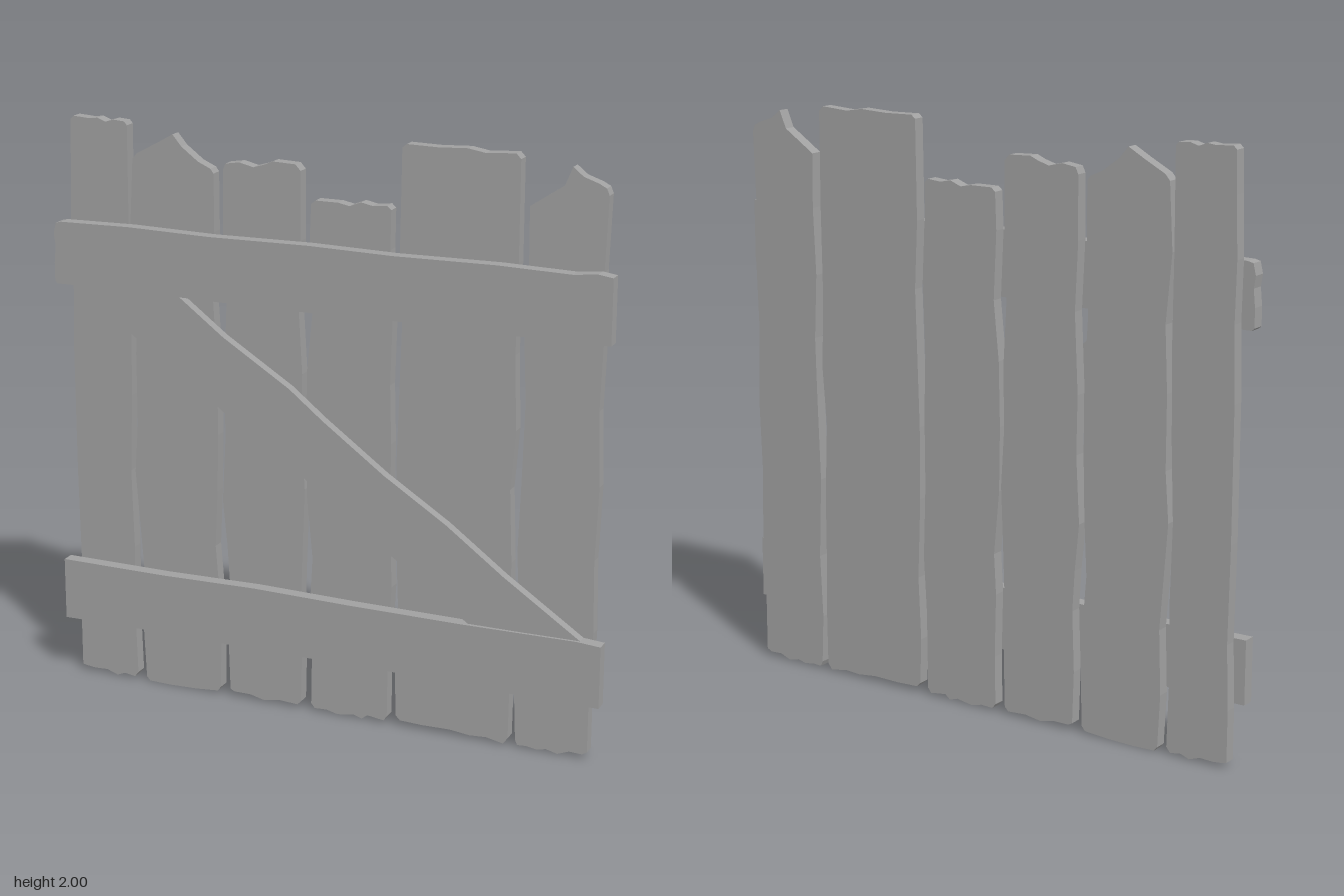
import * as THREE from 'three';

// Weathered plank gate: six ragged upright boards, two rails and a diagonal brace
export function createModel() {
  const group = new THREE.Group();
  const wood = new THREE.MeshStandardMaterial({ color: 0xa0a0a0 });
  wood.name = 'greyWood';

  // Extrude a flat outline of [x, y] corners between two depths
  function board(name, z0, z1, outline) {
    const shape = new THREE.Shape(outline.map(([x, y]) => new THREE.Vector2(x, y)));
    const geo = new THREE.ExtrudeGeometry(shape, { depth: z1 - z0, bevelEnabled: false });
    geo.translate(0, 0, z0);
    const mesh = new THREE.Mesh(geo, wood);
    mesh.name = name;
    group.add(mesh);
  }
  // Upright board: left edge going up, top going right, right edge going down, bottom going left
  const plank = (name, left, top, right, bottom) =>
    board(name, -0.042, 0, [...left, ...top, ...right, ...bottom]);

  plank('plank1',
    [[-0.948, 0.025], [-0.948, 0.2], [-0.94, 0.42], [-0.945, 0.75], [-0.945, 1.2], [-0.938, 1.45], [-0.942, 1.65], [-0.935, 1.85]],
    [[-0.932, 1.985], [-0.92, 1.997], [-0.86, 1.993], [-0.83, 1.997], [-0.8, 1.986], [-0.77, 1.995], [-0.73, 1.992]],
    [[-0.72, 1.98], [-0.722, 1.65], [-0.72, 1.35], [-0.725, 1.05], [-0.735, 0.78], [-0.728, 0.5], [-0.732, 0.25]],
    [[-0.726, 0.03], [-0.74, 0.012], [-0.78, 0.018], [-0.81, 0.006], [-0.85, 0.02], [-0.9, 0.018], [-0.935, 0.022]]);
  plank('plank2',
    [[-0.692, 0.02], [-0.7, 0.2], [-0.692, 0.42], [-0.705, 0.6], [-0.718, 0.78], [-0.705, 0.95], [-0.705, 1.2], [-0.695, 1.42], [-0.715, 1.65]],
    [[-0.702, 1.87], [-0.685, 1.89], [-0.61, 1.93], [-0.552, 1.963], [-0.52, 1.925], [-0.46, 1.88], [-0.415, 1.86]],
    [[-0.404, 1.845], [-0.404, 1.65], [-0.412, 1.42], [-0.4, 1.2], [-0.4, 0.95], [-0.405, 0.75], [-0.415, 0.55], [-0.4, 0.35], [-0.398, 0.2]],
    [[-0.402, 0.03], [-0.415, 0.014], [-0.5, 0.007], [-0.6, 0.004], [-0.68, 0.006]]);
  plank('plank3',
    [[-0.365, 0.03], [-0.37, 0.21], [-0.362, 0.42], [-0.37, 0.56], [-0.385, 0.72], [-0.372, 0.95], [-0.375, 1.15], [-0.362, 1.42], [-0.372, 1.65]],
    [[-0.37, 1.86], [-0.36, 1.882], [-0.31, 1.89], [-0.26, 1.878], [-0.22, 1.89], [-0.19, 1.903], [-0.11, 1.9]],
    [[-0.092, 1.88], [-0.092, 1.65], [-0.1, 1.42], [-0.088, 1.2], [-0.092, 1], [-0.08, 0.8], [-0.088, 0.6], [-0.095, 0.4], [-0.092, 0.2]],
    [[-0.096, 0.03], [-0.11, 0.016], [-0.18, 0.02], [-0.24, 0.01], [-0.29, 0.022], [-0.35, 0.022]]);
  plank('plank4',
    [[-0.058, 0.03], [-0.055, 0.2], [-0.06, 0.42], [-0.052, 0.56], [-0.072, 0.78], [-0.075, 1], [-0.07, 1.22], [-0.05, 1.42], [-0.06, 1.65]],
    [[-0.055, 1.775], [-0.04, 1.788], [0.04, 1.788], [0.08, 1.78], [0.12, 1.796], [0.16, 1.788], [0.21, 1.793]],
    [[0.224, 1.78], [0.222, 1.65], [0.232, 1.42], [0.225, 1.2], [0.23, 1], [0.228, 0.75], [0.236, 0.5], [0.225, 0.3]],
    [[0.222, 0.03], [0.21, 0.014], [0.15, 0.022], [0.13, 0.006], [0.1, 0.016], [0.04, 0.006], [0, 0.016], [-0.045, 0.014]]);
  plank('plank5',
    [[0.255, 0.04], [0.25, 0.2], [0.26, 0.42], [0.25, 0.7], [0.25, 0.95], [0.258, 1.2], [0.265, 1.42], [0.255, 1.65]],
    [[0.26, 1.985], [0.275, 1.997], [0.38, 1.995], [0.48, 2], [0.54, 1.99], [0.64, 1.997]],
    [[0.656, 1.98], [0.656, 1.65], [0.652, 1.35], [0.66, 1.1], [0.645, 0.9], [0.655, 0.65], [0.655, 0.42], [0.658, 0.2]],
    [[0.656, 0.03], [0.64, 0.008], [0.58, 0.02], [0.52, 0.016], [0.45, 0.024], [0.35, 0.022], [0.27, 0.025]]);
  plank('plank6',
    [[0.682, 0.03], [0.675, 0.2], [0.685, 0.42], [0.675, 0.7], [0.685, 1], [0.69, 1.2], [0.68, 1.42], [0.69, 1.65]],
    [[0.688, 1.835], [0.74, 1.87], [0.8, 1.91], [0.825, 1.97], [0.86, 1.942], [0.91, 1.925], [0.935, 1.912]],
    [[0.944, 1.89], [0.936, 1.65], [0.942, 1.42], [0.935, 1.2], [0.944, 0.95], [0.935, 0.7], [0.94, 0.45], [0.932, 0.2]],
    [[0.932, 0.03], [0.915, 0.02], [0.87, 0.022], [0.83, 0.006], [0.79, 0.016], [0.76, 0.008], [0.72, 0.014], [0.69, 0.012]]);

  // Horizontal rails with slightly wavy edges
  board('topRail', 0, 0.045, [
    [-0.975, 1.428], [-0.7, 1.43], [-0.4, 1.426], [0.05, 1.425], [0.25, 1.43], [0.6, 1.426], [0.98, 1.428],
    [0.98, 1.645], [0.93, 1.652], [0.85, 1.643], [0.6, 1.648], [0.25, 1.643], [-0.05, 1.648], [-0.4, 1.643],
    [-0.7, 1.648], [-0.955, 1.643], [-0.975, 1.638], [-0.984, 1.6], [-0.978, 1.56], [-0.984, 1.5], [-0.984, 1.436]]);
  board('bottomRail', 0, 0.045, [
    [-0.984, 0.214], [-0.6, 0.217], [-0.2, 0.213], [0.2, 0.218], [0.6, 0.212], [0.98, 0.212],
    [0.98, 0.426], [0.9, 0.432], [0.5, 0.428], [0.1, 0.43], [-0.25, 0.436], [-0.6, 0.43], [-0.984, 0.432]]);

  // Diagonal brace running from the upper left corner to the lower right
  board('diagonalBrace', 0, 0.035, [
    [-0.91, 1.43], [-0.67, 1.255], [-0.52, 1.165], [-0.3, 1.0], [-0.07, 0.855], [0.2, 0.655], [0.34, 0.565], [0.52, 0.43],
    [0.91, 0.43], [0.64, 0.612], [0.44, 0.76], [0.22, 0.9], [0, 1.06], [-0.12, 1.155], [-0.36, 1.305], [-0.52, 1.425]]);

  return group;
}
